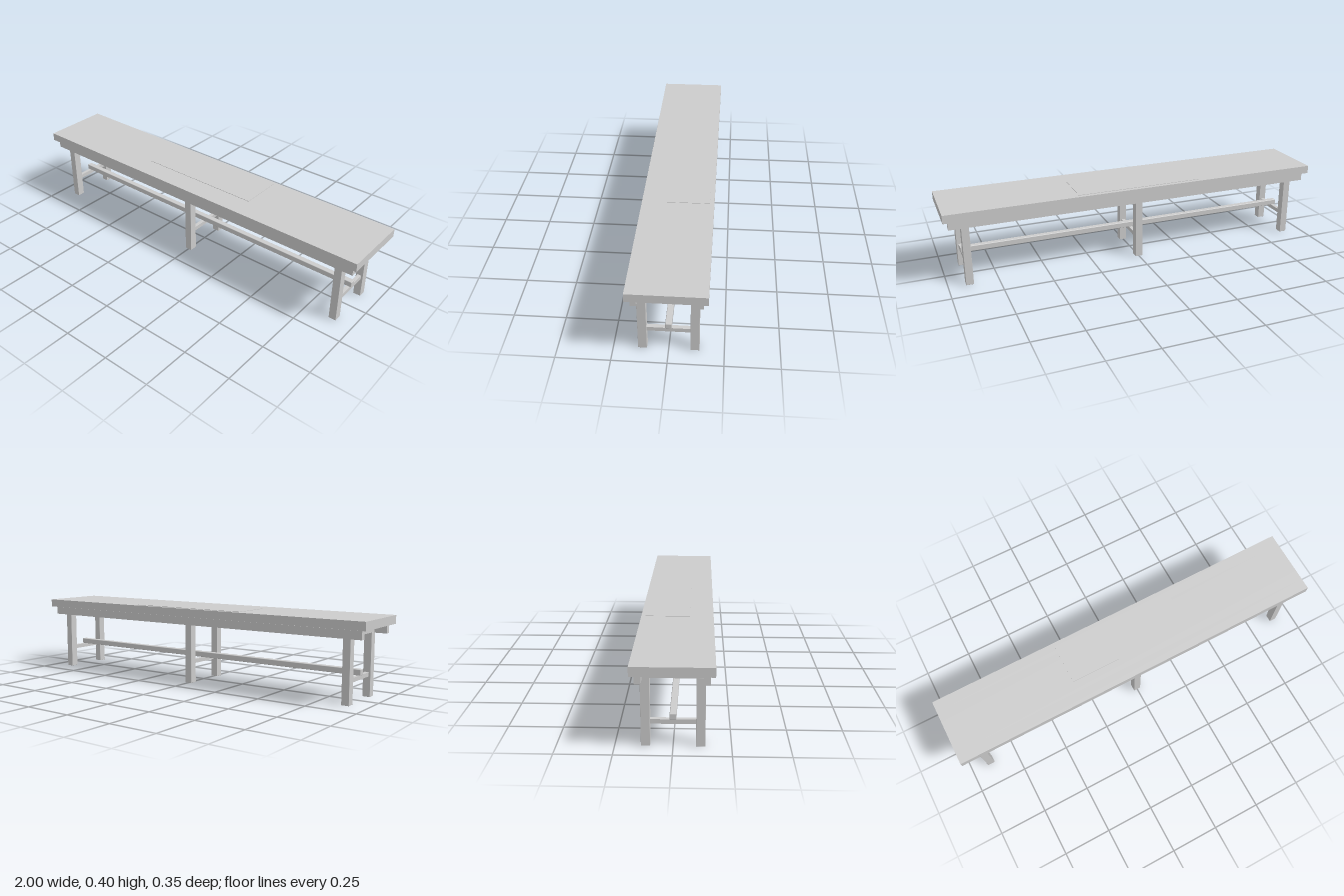
import * as THREE from 'three';
import { RoundedBoxGeometry } from 'three/addons/geometries/RoundedBoxGeometry.js';

const material = new THREE.MeshStandardMaterial({ color: 0xcccccc });

export function createModel() {
  const bench = new THREE.Group();
  bench.name = 'bench';

  // Box given by its [min, max] range on each axis, optionally with softened edges
  function beam(name, [x0, x1], [y0, y1], [z0, z1], radius = 0) {
    const size = [x1 - x0, y1 - y0, z1 - z0];
    const geometry = radius
      ? new RoundedBoxGeometry(...size, 1, radius)
      : new THREE.BoxGeometry(...size);
    const mesh = new THREE.Mesh(geometry, material);
    mesh.name = name;
    mesh.position.set((x0 + x1) / 2, (y0 + y1) / 2, (z0 + z1) / 2);
    bench.add(mesh);
  }

  // Seat: six long planks laid edge to edge
  const plankWidth = 0.353 / 6;
  for (let i = 0; i < 6; i++) {
    const z = -0.1765 + i * plankWidth;
    beam('seatPlank', [-1, 1], [0.353, 0.395], [z, z + plankWidth]);
  }

  // Thin panel lying on the middle of the seat, towards the back
  beam('seatPanel', [-0.33, 0.33], [0.395, 0.397], [-0.155, 0.06]);

  // Long aprons under the front and back of the seat
  for (const z of [-0.1425, 0.1425])
    beam('apron', [-0.975, 0.975], [0.309, 0.35], [z - 0.0135, z + 0.0135]);

  // Three trestles: two legs, a top cross rail and a low cross stretcher
  for (const x of [-0.895, 0, 0.895]) {
    for (const z of [-0.118, 0.118])
      beam('leg', [x - 0.019, x + 0.019], [0, 0.313], [z - 0.02, z + 0.02], 0.001);
    beam('crossRail', [x - 0.019, x + 0.019], [0.313, 0.35], [-0.129, 0.129]);
    beam('crossStretcher', [x - 0.01, x + 0.01], [0.1, 0.121], [-0.1, 0.1]);
  }

  // Long stretcher resting on the cross stretchers
  beam('longStretcher', [-0.912, 0.912], [0.121, 0.15], [-0.0145, 0.0145], 0.003);

  return bench;
}
